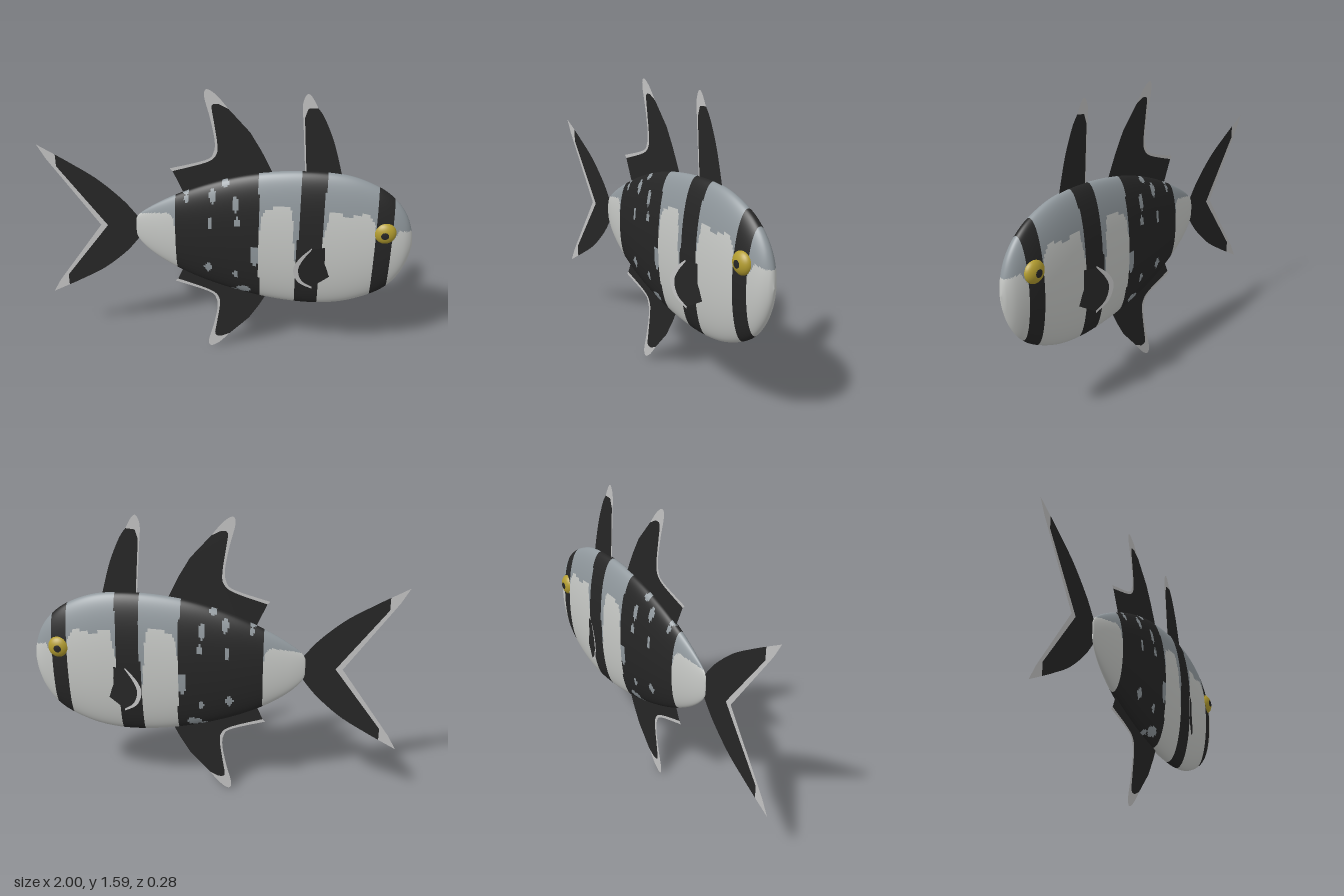
import * as THREE from 'three';

const mat = (name, color, side = THREE.FrontSide) => {
  const m = new THREE.MeshStandardMaterial({ color, side });
  m.name = name;
  return m;
};

// piecewise-linear lookup in a list of [x, value]
function lookup(list, x) {
  for (let i = 1; i < list.length; i++) {
    const [x0, v0] = list[i - 1], [x1, v1] = list[i];
    if (x <= x1) return v0 + (v1 - v0) * Math.max(0, (x - x0) / (x1 - x0));
  }
  return list[list.length - 1][1];
}

// body stations: x, top, bottom, half width
const STATIONS = [
  [-0.487, 0.785, 0.785, 0], [-0.477, 0.85, 0.715, 0.009], [-0.4, 0.915, 0.63, 0.03],
  [-0.27, 0.99, 0.545, 0.053], [-0.1, 1.067, 0.47, 0.073], [0.1, 1.13, 0.41, 0.085],
  [0.3, 1.162, 0.373, 0.09], [0.5, 1.171, 0.364, 0.091], [0.66, 1.153, 0.388, 0.089],
  [0.8, 1.1, 0.445, 0.08], [0.89, 1.035, 0.51, 0.066], [0.95, 0.958, 0.595, 0.049],
  [0.985, 0.87, 0.69, 0.025], [1.0, 0.78, 0.78, 0],
];

// lower edge of the grey back
const BACK_LINE = [
  [-0.49, 0.86], [-0.42, 0.88], [-0.3, 0.9], [-0.275, 0.88], [-0.25, 0.75],
  [0.185, 0.75], [0.2, 0.92], [0.225, 0.98], [0.35, 0.995], [0.365, 0.95], [0.375, 0.8], [0.4, 0.55],
  [0.525, 0.8], [0.545, 0.9], [0.555, 0.975], [0.6, 0.985], [0.65, 0.95], [0.7, 0.975],
  [0.76, 0.97], [0.79, 0.92], [0.8, 0.85], [0.89, 0.82], [0.92, 0.88], [1, 0.86],
];

// grey flecks on the wide band: x, y, radius x, radius y
const FLECKS = [
  [-0.2, 0.99, 0.012, 0.02], [-0.06, 1.02, 0.018, 0.04], [0.005, 1.09, 0.022, 0.018],
  [0.063, 0.99, 0.017, 0.045], [-0.07, 0.87, 0.013, 0.035], [0.075, 0.89, 0.014, 0.03],
  [-0.085, 0.59, 0.02, 0.03], [0.068, 0.56, 0.014, 0.024], [0.11, 0.445, 0.04, 0.025],
  [0.055, 0.425, 0.02, 0.014], [0.17, 0.69, 0.022, 0.07], [-0.21, 1.02, 0.025, 0.01],
];

// 0 light belly, 1 grey back, 2 black band
function bodyColour(x, y) {
  const lean = 0.02 * (0.8 - y);
  const inBand = (a, b) => x > a && x < b;
  if (inBand(0.8, 0.888) || inBand(0.397 - lean, 0.525 - lean)) return 2;
  if (inBand(-0.26, 0.19 + lean)) {
    return FLECKS.some(([fx, fy, rx, ry]) => ((x - fx) / rx) ** 2 + ((y - fy) / ry) ** 2 < 1) ? 1 : 2;
  }
  return y > lookup(BACK_LINE, x) ? 1 : 0;
}

// elliptical rings along x, faces sorted into one group per colour
function bodyGeometry() {
  const curve = (f) => new THREE.CatmullRomCurve3(STATIONS.map(f), false, 'catmullrom', 0.5);
  const height = curve(([x, t, b]) => new THREE.Vector3(x, t, b));
  const width = curve(([x, , , w]) => new THREE.Vector3(x, w, 0));
  const N = 260, R = 112, pos = [], faces = [[], [], []];
  for (let i = 0; i <= N; i++) {
    const h = height.getPoint(i / N), w = Math.max(0, width.getPoint(i / N).y);
    for (let j = 0; j < R; j++) {
      const a = (j / R) * Math.PI * 2;
      pos.push(h.x, (h.y + h.z) / 2 + Math.cos(a) * (h.y - h.z) / 2, Math.sin(a) * w);
    }
  }
  for (let i = 0; i < N; i++) {
    for (let j = 0; j < R; j++) {
      const k = (j + 1) % R;
      const a = i * R + j, b = i * R + k, c = a + R, d = b + R;
      const x = (pos[a * 3] + pos[d * 3]) / 2, y = (pos[a * 3 + 1] + pos[d * 3 + 1]) / 2;
      faces[bodyColour(x, y)].push(a, b, c, b, d, c);
    }
  }
  const g = new THREE.BufferGeometry();
  g.setAttribute('position', new THREE.Float32BufferAttribute(pos, 3));
  g.setIndex(faces.flat());
  let start = 0;
  faces.forEach((f, m) => { g.addGroup(start, f.length, m); start += f.length; });
  g.computeVertexNormals();
  return g;
}

const smooth = (pts, n = 24) =>
  new THREE.SplineCurve(pts.map(([x, y]) => new THREE.Vector2(x, y))).getPoints(n);
const points = (pts) => pts.map(([x, y]) => new THREE.Vector2(x, y));

export function createModel() {
  const model = new THREE.Group();
  model.name = 'stripedFish';
  const belly = mat('light belly', 0xc6c8c5);
  const back = mat('grey back', 0x90989d);
  const black = mat('black band', 0x262626);
  const finBlack = mat('black fin', 0x262626, THREE.DoubleSide);
  const finEdge = mat('pale fin edge', 0xc2c2c2, THREE.DoubleSide);
  const gold = mat('gold eye', 0xb39d30);

  const add = (parent, name, geometry, material) => {
    const m = new THREE.Mesh(geometry, material);
    m.name = name;
    parent.add(m);
    return m;
  };

  add(model, 'body', bodyGeometry(), [belly, back, black]);

  // flat fin: dark web between base and inner line, pale strip from inner to outer line
  function fin(name, base, inner, outer) {
    const g = new THREE.Group();
    g.name = name;
    const web = new THREE.Shape([...base, ...inner]);
    const strip = new THREE.Shape([...outer, ...[...inner].reverse()]);
    add(g, name + 'Web', new THREE.ShapeGeometry(web), finBlack);
    add(g, name + 'Edge', new THREE.ShapeGeometry(strip), finEdge);
    model.add(g);
    return g;
  }

  // tail
  const lobe = smooth([[-0.44, 0.8], [-0.48, 0.855], [-0.556, 0.947], [-0.684, 1.06], [-0.82, 1.145], [-0.904, 1.193]]);
  const flip = (p) => new THREE.Vector2(p.x, 1.562 - p.y);
  const tailInner = points([[-0.904, 1.193], [-0.904, 1.125], [-0.647, 0.781], [-0.904, 0.437], [-0.904, 0.369]]);
  const tailOuter = points([[-1, 1.246], [-0.955, 1.165], [-0.685, 0.781], [-0.955, 0.397], [-1, 0.316]]);
  fin('tailFin', [...lobe.map(flip).reverse().slice(1), ...lobe.slice(0, -1)], tailInner, tailOuter);

  // rear dorsal fin and its mirrored anal fin
  const rearBase = points([[-0.17, 0.9], [0.2, 0.95], [0.25, 1.15], [0.19, 1.27], [0.13, 1.37]]);
  const rearInner = [
    ...points([[0.02, 1.49]]),
    ...smooth([[-0.03, 1.515], [-0.065, 1.505], [-0.055, 1.42], [-0.038, 1.3], [-0.045, 1.235], [-0.1, 1.19], [-0.275, 1.132]]),
  ];
  const rearOuter = [
    ...smooth([[0.02, 1.49], [-0.04, 1.56], [-0.09, 1.59], [-0.103, 1.55], [-0.075, 1.44], [-0.052, 1.32], [-0.058, 1.25], [-0.1, 1.205], [-0.29, 1.147]], 32),
  ];
  fin('rearDorsalFin', rearBase, rearInner, rearOuter);
  const anal = fin('analFin', rearBase, rearInner, rearOuter);
  anal.scale.y = -1;
  anal.position.set(0.01, 1.591, 0);

  // front dorsal fin
  fin('frontDorsalFin',
    [...points([[0.425, 1.05], [0.59, 1.05]]), ...smooth([[0.605, 1.155], [0.555, 1.33], [0.5, 1.46], [0.463, 1.515]])].slice(0, -1),
    [...points([[0.463, 1.515], [0.415, 1.51], [0.4, 1.46], [0.422, 1.17]])],
    smooth([[0.463, 1.515], [0.43, 1.573], [0.405, 1.583], [0.387, 1.53], [0.395, 1.42], [0.415, 1.17]]));

  // pectoral fins flare outward toward the rear
  const pecInner = smooth([[0.475, 0.77], [0.43, 0.71], [0.408, 0.65], [0.43, 0.58], [0.485, 0.535]]);
  const pecOuter = smooth([[0.475, 0.78], [0.41, 0.72], [0.382, 0.655], [0.41, 0.575], [0.485, 0.523]]);
  const pecBase = points([[0.52, 0.555], [0.578, 0.59], [0.545, 0.675], [0.55, 0.775]]);
  for (const [side, s] of [['left', 1], ['right', -1]]) {
    const g = fin(side === 'left' ? 'nearPectoralFin' : 'farPectoralFin', pecBase, pecInner, pecOuter);
    for (const m of g.children) {
      const p = m.geometry.attributes.position;
      for (let i = 0; i < p.count; i++) p.setZ(i, s * (0.08 + (0.578 - p.getX(i)) * 0.31));
      m.geometry.computeVertexNormals();
    }
  }

  // eyes with pupils on the outer side
  for (const s of [1, -1]) {
    const eye = new THREE.Group();
    eye.name = s > 0 ? 'nearEye' : 'farEye';
    eye.position.set(0.845, 0.866, s * 0.058);
    add(eye, 'eyeball', new THREE.SphereGeometry(0.06, 32, 20).rotateX(s * Math.PI / 2).scale(1, 1, 0.63), gold);
    add(eye, 'pupil', new THREE.SphereGeometry(0.0615, 20, 5, 0, Math.PI * 2, 0, 0.34)
      .rotateX(s * Math.PI / 2).scale(1, 1, 0.63), black);
    model.add(eye);
  }
  return model;
}
